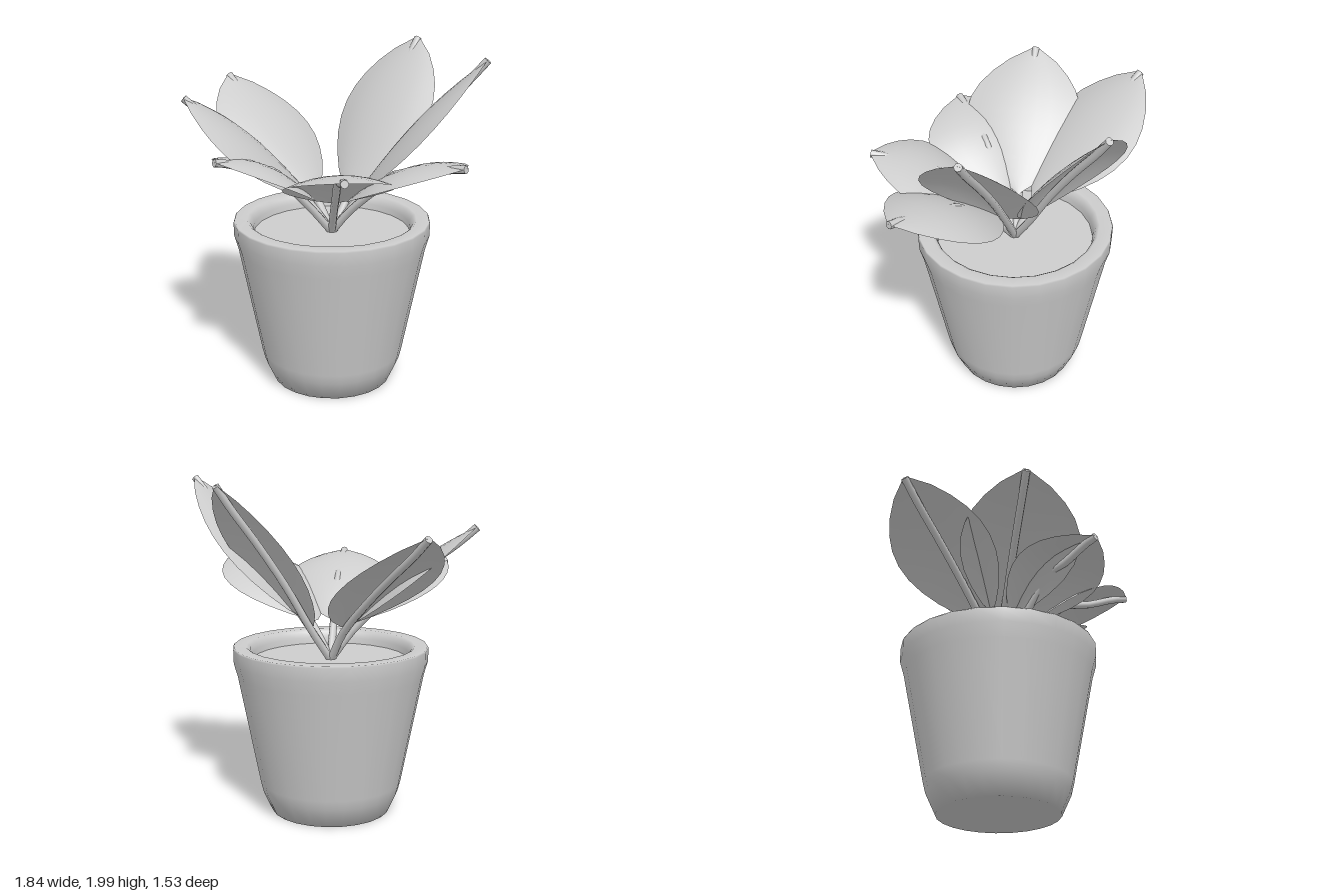
import * as THREE from 'three';

const grey = new THREE.MeshStandardMaterial({ color: 0xcccccc, side: THREE.DoubleSide });
grey.name = 'plain grey';

const add = (parent, name, geometry) => {
  const mesh = new THREE.Mesh(geometry, grey);
  mesh.name = name;
  parent.add(mesh);
  return mesh;
};

const AXIS_Z = 0.012; // pot and stems share an axis slightly in front of the centre

// Each leaf grows along its local +x; arch lifts the middle of its centre line
const BASE_R = 0.13, BASE_Y = 1.14;
function centreLine(t, tipR, tipY, arch) {
  return [BASE_R + (tipR - BASE_R) * t, BASE_Y + (tipY - BASE_Y) * t + arch * Math.sin(Math.PI * t)];
}

function bladeGeometry(tipR, tipY, arch, halfWidth, sway) {
  const rows = 10, cols = 8, pos = [], idx = [];
  const slope = Math.atan2(tipY - BASE_Y, tipR - BASE_R);
  for (let i = 0; i <= rows; i++) {
    const t = i / rows;
    const bulge = Math.max(Math.sin(Math.PI * t), 0);
    const [r, y] = centreLine(t, tipR, tipY, arch);
    const w = halfWidth * Math.pow(bulge, 0.8) + 0.012;
    for (let j = 0; j <= cols; j++) {
      const s = (j / cols) * 2 - 1;
      // domed across: the middle is lifted and the edges droop
      const lift = (0.015 - 0.07 * s * s) * bulge;
      pos.push(r - lift * Math.sin(slope), y + lift * Math.cos(slope), sway * bulge - s * w);
    }
  }
  for (let i = 0; i < rows; i++) {
    for (let j = 0; j < cols; j++) {
      const a = i * (cols + 1) + j, b = a + cols + 1;
      idx.push(a, b, a + 1, b, b + 1, a + 1);
    }
  }
  const g = new THREE.BufferGeometry();
  g.setAttribute('position', new THREE.Float32BufferAttribute(pos, 3));
  g.setIndex(idx);
  g.computeVertexNormals();
  return g;
}

function makeLeaf([x, tipY, z], arch, halfWidth, sway, stemDrops) {
  const leaf = new THREE.Group();
  leaf.name = 'leaf';
  const tipR = Math.hypot(x, z - AXIS_Z);
  add(leaf, 'leafBlade', bladeGeometry(tipR, tipY, arch, halfWidth, sway));
  // the stem runs from the soil, under the blade, and ends in a nub at the tip
  const points = [new THREE.Vector3(0, 0.92, 0)];
  stemDrops.forEach(([t, drop]) => {
    const [r, y] = centreLine(t, tipR, tipY, arch);
    points.push(new THREE.Vector3(r, y - drop, 0));
  });
  const curve = new THREE.CatmullRomCurve3(points);
  add(leaf, 'leafStem', new THREE.TubeGeometry(curve, 16, 0.023, 8));
  const cap = add(leaf, 'stemTip', new THREE.CircleGeometry(0.023, 8));
  cap.position.copy(curve.getPoint(1));
  cap.lookAt(cap.position.clone().add(curve.getTangent(1)));
  leaf.position.z = AXIS_Z;
  leaf.rotation.y = Math.atan2(AXIS_Z - z, x);
  return leaf;
}

export function createModel() {
  const model = new THREE.Group();
  model.name = 'pottedPlant';

  // Pot: hollow turned body with a thick, rounded rim
  const profile = [
    [0, 0], [0.355, 0], [0.41, 0.12], [0.425, 0.18], [0.555, 0.84],
    [0.578, 0.92], [0.58, 1.0], [0.575, 1.01], [0.5, 1.01], [0.48, 0.995], [0.465, 0.96], [0.46, 0.9],
  ].map(([x, y]) => new THREE.Vector2(x, y));
  add(model, 'pot', new THREE.LatheGeometry(profile, 24)).position.z = AXIS_Z;

  // Soil
  const soil = add(model, 'soil', new THREE.CircleGeometry(0.465, 24));
  soil.rotation.x = -Math.PI / 2;
  soil.position.set(0, 0.925, AXIS_Z);

  // How far the stem lies below the blade along its length: [t, drop]
  const straight = [[0, 0.04], [0.3, 0.042], [0.6, 0.045], [0.85, 0.032], [1, 0.004]];
  const bowed = [[0, 0.065], [0.25, 0.035], [0.42, 0], [0.65, 0.035], [0.88, 0.012], [1, 0.004]];

  // Leaves (tip, arch, half width, sideways sway, stem): two tall, two middle, three low
  const leaves = [
    [[0.07, 1.98, -0.75], 0.055, 0.31, -0.012, straight],
    [[0.77, 1.98, -0.4], 0.05, 0.31, 0.022, straight],
    [[-0.91, 1.73, -0.11], 0.04, 0.315, 0, straight],
    [[-0.67, 1.73, 0.53], 0.05, 0.335, -0.03, straight],
    [[0.91, 1.475, 0.015], 0.085, 0.32, 0, bowed],
    [[0.56, 1.475, 0.62], 0.085, 0.3, 0, bowed],
    [[-0.23, 1.475, 0.75], 0.085, 0.31, 0, bowed],
  ];
  for (const leaf of leaves) model.add(makeLeaf(...leaf));

  return model;
}
